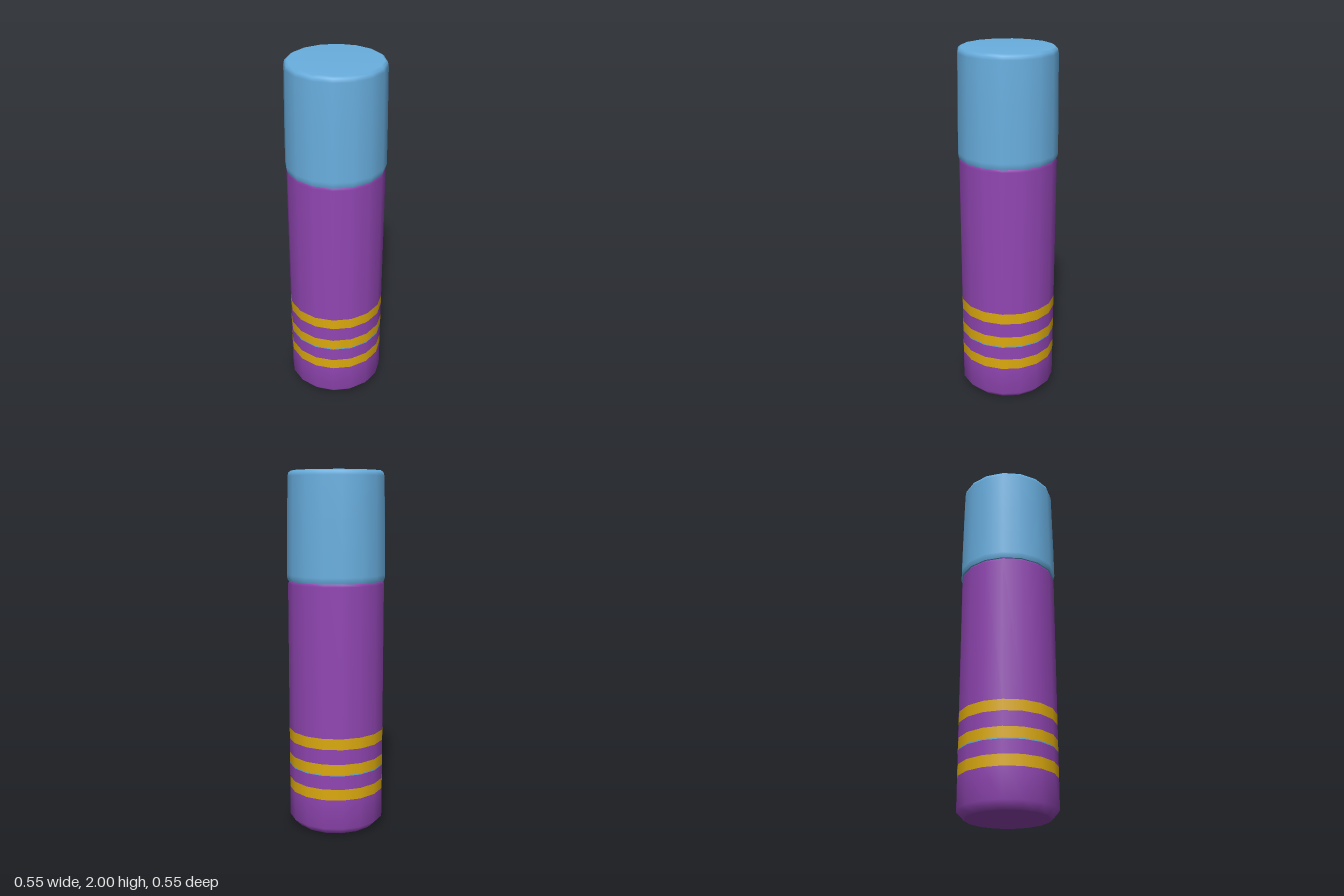
import * as THREE from 'three';

const SIDES = 16;
const R = 0.27;

const makeMaterial = (name, color) => {
  const m = new THREE.MeshStandardMaterial({ color });
  m.name = name;
  return m;
};

export function createModel() {
  const purple = makeMaterial('purple', 0x9146b3);
  const gold = makeMaterial('gold', 0xdcaa0e);
  const blue = makeMaterial('sky blue', 0x69afe0);

  const model = new THREE.Group();
  model.name = 'cappedTube';

  // Adds a turned surface from [radius, height] pairs, listed upward
  const turn = (name, profile, material) => {
    const points = profile.map(([r, y]) => new THREE.Vector2(r, y));
    const mesh = new THREE.Mesh(new THREE.LatheGeometry(points, SIDES), material);
    mesh.name = name;
    model.add(mesh);
  };

  // Body: flat base, bevelled foot, then purple walls between the bands
  turn('base', [[0, 0], [0.228, 0]], purple);
  turn('foot', [[0.228, 0], [R, 0.042], [R, 0.21]], purple);
  turn('lowerWall', [[R, 0.272], [R, 0.35]], purple);
  turn('middleWall', [[R, 0.416], [R, 0.5]], purple);
  turn('upperWall', [[R, 0.562], [R, 1.39], [0.262, 1.405]], purple);
  turn('shoulder', [[0.262, 1.405], [0, 1.405]], purple);

  // Decorative bands
  turn('lowerBand', [[R, 0.21], [R, 0.272]], gold);
  turn('middleBand', [[R, 0.356], [R, 0.416]], gold);
  turn('upperBand', [[R, 0.5], [R, 0.562]], gold);
  turn('pinstripe', [[R, 0.35], [R, 0.356]], blue);

  // Cap: slightly tapered wall with a rolled lip and a rounded top edge
  turn('capUnderside', [[0.25, 1.406], [0.27, 1.406]], blue);
  turn('cap', [
    [0.27, 1.406], [0.276, 1.425], [0.275, 1.44], [0.274, 1.58], [0.271, 1.75],
    [0.267, 1.97], [0.262, 1.99], [0.248, 2], [0, 2],
  ], blue);

  return model;
}
